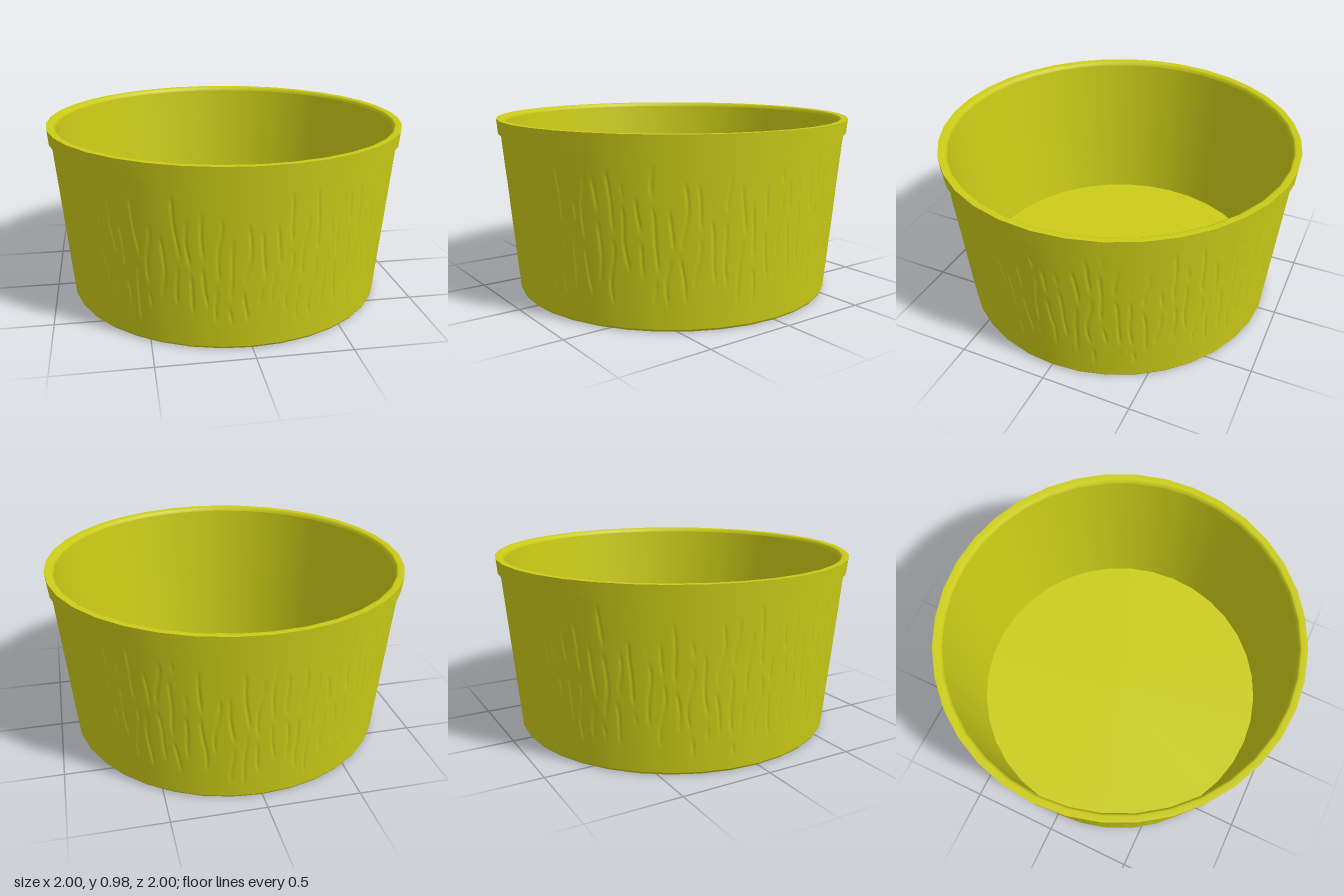
import * as THREE from 'three';
import { mergeVertices } from 'three/addons/utils/BufferGeometryUtils.js';

const SIDES = 36;
const material = new THREE.MeshStandardMaterial({ color: 0xcccc18 });

// One smooth strip of the turned bowl; separate strips keep the edges sharp
function strip(name, profile) {
  const points = profile.map(([r, y]) => new THREE.Vector2(r, y));
  const mesh = new THREE.Mesh(new THREE.LatheGeometry(points, SIDES), material);
  mesh.name = name;
  return mesh;
}

const hash = (n) => {
  const s = Math.sin(n * 127.1 + 11.7) * 43758.5453;
  return s - Math.floor(s);
};

// Depth of the wandering, broken vertical grain lines at an angle and height
function grainDepth(angle, y) {
  const count = 84;
  const u = (angle / (2 * Math.PI)) * count;
  const id = ((Math.floor(u) % count) + count) % count;
  const h = hash(id);
  const centre = 0.5 + 0.18 * Math.sin(y * (6 + 6 * h) + h * 40) + 0.08 * Math.sin(y * 19 + h * 90);
  const across = Math.max(0, 1 - Math.abs(u - Math.floor(u) - centre) / 0.17);
  const start = 0.07 + 0.2 * hash(id + 200);
  const end = 0.88 - 0.25 * hash(id + 400);
  const along = THREE.MathUtils.smoothstep(y, start, start + 0.05)
    * (1 - THREE.MathUtils.smoothstep(y, end - 0.05, end));
  const broken = THREE.MathUtils.smoothstep(Math.sin(y * 17 + h * 60), -0.95, -0.6);
  return 0.004 * across * along * broken;
}

// Outer wall with shallow grain, laid over the same 36 flat facets as the body
function grainedWall() {
  const rows = 40;
  const profile = [];
  for (let i = 0; i <= rows; i++) {
    const t = i / rows;
    profile.push(new THREE.Vector2(0.901 + 0.078 * t, 0.012 + 0.888 * t));
  }
  let geometry = new THREE.LatheGeometry(profile, SIDES * 28);
  geometry.deleteAttribute('uv');
  geometry.deleteAttribute('normal');
  geometry = mergeVertices(geometry, 1e-5);
  const p = geometry.attributes.position;
  const scaleRadius = (rule) => {
    for (let i = 0; i < p.count; i++) {
      const x = p.getX(i), z = p.getZ(i);
      const k = rule(Math.atan2(x, z), p.getY(i), Math.hypot(x, z));
      p.setX(i, x * k);
      p.setZ(i, z * k);
    }
  };
  scaleRadius((a, y, r) => 1 - grainDepth(a, y) / r);
  geometry.computeVertexNormals();
  const step = (2 * Math.PI) / SIDES;
  scaleRadius((a) => {
    const local = a - (Math.floor(a / step) + 0.5) * step;
    return Math.cos(step / 2) / Math.cos(local);
  });
  const mesh = new THREE.Mesh(geometry, material);
  mesh.name = 'grainedWall';
  return mesh;
}

export function createModel() {
  const bowl = new THREE.Group();
  bowl.name = 'bowl';
  bowl.add(
    strip('underside', [[0, 0], [0.893, 0]]),
    strip('footBevel', [[0.893, 0], [0.901, 0.012]]),
    grainedWall(),
    // Raised band around the mouth
    strip('rimLedge', [[0.975, 0.9], [0.993, 0.9]]),
    strip('rimBand', [[0.993, 0.9], [1, 0.982]]),
    strip('rimTop', [[1, 0.982], [0.968, 0.982], [0.958, 0.976], [0.952, 0.96]]),
    strip('innerWall', [[0.952, 0.96], [0.87, 0.06]]),
    strip('floor', [[0.87, 0.06], [0, 0.06]]),
  );
  return bowl;
}
